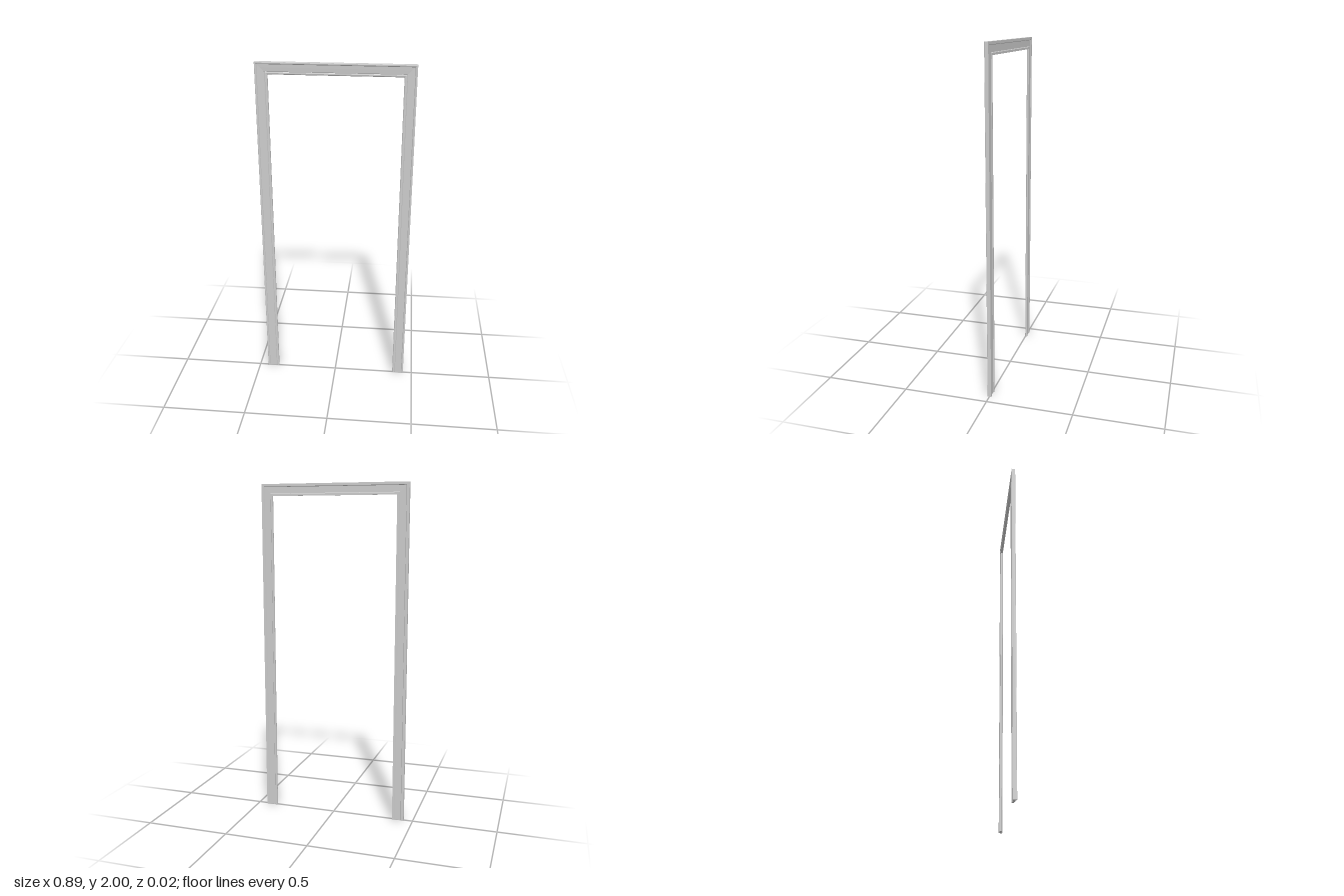
import * as THREE from 'three';

// Moulding cross-section: [distance out from the opening, z], counter-clockwise
const PROFILE = [
  [0, -0.011], [0.012, -0.011], [0.015, -0.007], [0.052, -0.007], [0.055, -0.011], [0.07, -0.011],
  [0.07, 0.009], [0.068, 0.011], [0.062, 0.011], [0.059, 0.009], [0.057, 0.006],
  [0.04, 0.005], [0.018, 0.003], [0.015, 0.001], [0.012, 0.003], [0.006, 0.003], [0.002, 0.001], [0, -0.002],
];
const HALF_OPENING = 0.375, OPENING_TOP = 1.93;

// Stations along the frame, mitred at the two upper corners
const STATIONS = [
  (u, z) => [HALF_OPENING + u, 0, z],
  (u, z) => [HALF_OPENING + u, OPENING_TOP + u, z],
  (u, z) => [-HALF_OPENING - u, OPENING_TOP + u, z],
  (u, z) => [-HALF_OPENING - u, 0, z],
];

function mouldingPiece(name, index, material) {
  const start = PROFILE.map(p => STATIONS[index](...p));
  const end = PROFILE.map(p => STATIONS[index + 1](...p));
  const pos = [];
  const tri = (a, b, c) => pos.push(...a, ...b, ...c);
  for (let i = 0; i < PROFILE.length; i++) {
    const j = (i + 1) % PROFILE.length;
    tri(start[i], end[i], end[j]);
    tri(start[i], end[j], start[j]);
  }
  // Close the feet of the two side pieces
  const faces = THREE.ShapeUtils.triangulateShape(PROFILE.map(p => new THREE.Vector2(...p)), []);
  for (const [a, b, c] of faces) {
    if (index === 0) tri(start[a], start[b], start[c]);
    if (index === 2) tri(end[a], end[c], end[b]);
  }
  const geometry = new THREE.BufferGeometry();
  geometry.setAttribute('position', new THREE.Float32BufferAttribute(pos, 3));
  geometry.computeVertexNormals();
  const mesh = new THREE.Mesh(geometry, material);
  mesh.name = name;
  return mesh;
}

export function createModel() {
  const group = new THREE.Group();
  group.name = 'doorCasing';
  const material = new THREE.MeshStandardMaterial({ color: 0xcccccc, flatShading: true, side: THREE.DoubleSide });
  ['leftJamb', 'header', 'rightJamb'].forEach((name, i) => group.add(mouldingPiece(name, i, material)));
  return group;
}
